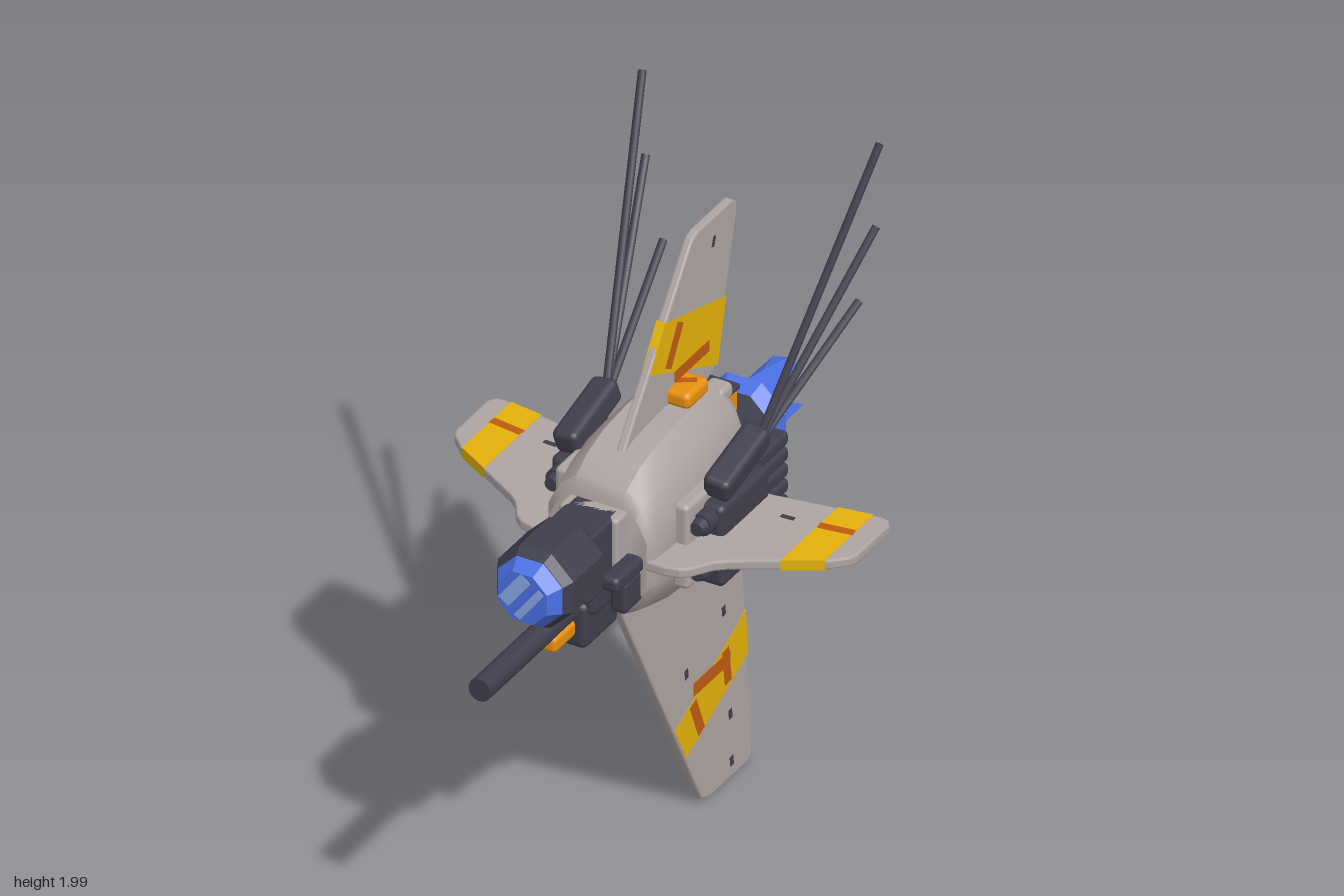
import * as THREE from 'three';
import { toCreasedNormals } from 'three/addons/utils/BufferGeometryUtils.js';
import { RoundedBoxGeometry } from 'three/addons/geometries/RoundedBoxGeometry.js';

const paint = (name, hex) => {
  const m = new THREE.MeshStandardMaterial({ color: hex });
  m.name = name;
  return m;
};

export function createModel() {
  const model = new THREE.Group();
  model.name = 'spacecraft';
  const hullGrey = paint('hull grey', 0xaea4a1);
  const dark = paint('dark metal', 0x3f3e4c);
  const yellow = paint('stripe yellow', 0xe4b10a);
  const orange = paint('fitting orange', 0xee940f);
  const rust = paint('marking rust', 0xbe5a10);
  const blue = paint('glow blue', 0x4c70e4);
  const paleBlue = paint('glass pale blue', 0x8aa8e6);
  blue.side = THREE.DoubleSide;

  const add = (name, geometry, material, x = 0, y = 0, z = 0) => {
    const mesh = new THREE.Mesh(geometry, material);
    mesh.name = name;
    mesh.position.set(x, y, z);
    model.add(mesh);
    return mesh;
  };
  const box = (name, m, w, h, d, x, y, z, r = 0.012) =>
    add(name, new RoundedBoxGeometry(w, h, d, 2, r), m, x, y, z);

  // Straight tube along z, from z0 (radius r0) to z1 (radius r1)
  const tubeZ = (name, m, r0, r1, z0, z1, x, y, sides = 16) => {
    const g = new THREE.CylinderGeometry(r1, r0, z1 - z0, sides);
    g.rotateY(Math.PI / sides).rotateX(Math.PI / 2);
    return add(name, toCreasedNormals(g, 0.5), m, x, y, (z0 + z1) / 2);
  };

  // Thin plate: upright takes [z, y] points, flat takes [x, z] points
  const plate = (name, m, pts, thick, upright, bevel = 0, y = 0) => {
    const shape = new THREE.Shape(pts.map(p => new THREE.Vector2(p[0], p[1])));
    const depth = thick - 2 * bevel;
    const g = new THREE.ExtrudeGeometry(shape, {
      depth, bevelEnabled: bevel > 0, bevelThickness: bevel,
      bevelSize: bevel, bevelOffset: -bevel, bevelSegments: 2,
    });
    g.translate(0, 0, -depth / 2);
    if (upright) g.rotateY(-Math.PI / 2);
    else g.rotateX(Math.PI / 2);
    return add(name, g, m, 0, y, 0);
  };
  // Quad of width w around the line a-b
  const line = (a, b, w) => {
    const dx = b[0] - a[0], dy = b[1] - a[1], l = Math.hypot(dx, dy);
    const nx = -dy / l * w / 2, ny = dx / l * w / 2;
    return [[a[0] + nx, a[1] + ny], [b[0] + nx, b[1] + ny], [b[0] - nx, b[1] - ny], [a[0] - nx, a[1] - ny]];
  };

  // Hull: chamfered sections [z, half width, bottom, top], back to front
  const sections = [[-0.355, 0.11, 0.92, 1.26], [-0.34, 0.14, 0.86, 1.32], [-0.30, 0.16, 0.83, 1.35],
    [-0.10, 0.17, 0.825, 1.35], [0.02, 0.17, 0.84, 1.34], [0.11, 0.167, 0.866, 1.315],
    [0.17, 0.162, 0.89, 1.28], [0.19, 0.148, 0.91, 1.245]];
  const pos = [], idx = [], n = 12;
  for (const [z, w, b, t] of sections) {
    const h = t - b;
    const side = [[0.38, 0], [0.68, 0.08], [1, 0.3], [1, 0.71], [0.77, 0.9], [0.47, 1]];
    for (const [u, v] of side) pos.push(w * u, b + h * v, z);
    for (const [u, v] of side.slice().reverse()) pos.push(-w * u, b + h * v, z);
  }
  for (let i = 0; i < sections.length - 1; i++) for (let j = 0; j < n; j++) {
    const a = i * n + j, b = i * n + (j + 1) % n;
    idx.push(a, b, a + n, b, b + n, a + n);
  }
  const last = (sections.length - 1) * n;
  for (let j = 1; j < n - 1; j++) idx.push(0, j + 1, j, last, last + j, last + j + 1);
  const hull = new THREE.BufferGeometry();
  hull.setAttribute('position', new THREE.Float32BufferAttribute(pos, 3));
  hull.setIndex(idx);
  add('hull', toCreasedNormals(hull, 0.6), hullGrey);

  // Upper fin
  plate('upperFin', hullGrey, [[0.1, 1.29], [-0.265, 1.765], [-0.285, 1.79], [-0.315, 1.8], [-0.495, 1.8],
    [-0.515, 1.785], [-0.52, 1.76], [-0.41, 1.33], [-0.3, 1.28]], 0.026, true, 0.006);
  plate('upperFinStripe', yellow, [[-0.14, 1.61], [-0.46, 1.52], [-0.415, 1.33], [-0.06, 1.49]], 0.0275, true);
  for (const [a, b, w] of [[[-0.22, 1.57], [-0.155, 1.46], 0.035], [[-0.19, 1.415], [-0.37, 1.415], 0.035]])
    plate('upperFinMark', rust, line(a, b, w), 0.029, true);
  plate('upperFinSpot', dark, line([-0.40, 1.74], [-0.39, 1.71], 0.014), 0.0275, true);

  // Lower fin
  plate('lowerFin', hullGrey, [[0.11, 0.87], [-0.31, 0.065], [-0.335, 0.02], [-0.375, 0.004], [-0.575, 0.004],
    [-0.597, 0.02], [-0.597, 0.05], [-0.545, 0.70], [-0.535, 0.73], [-0.51, 0.745], [-0.335, 0.745],
    [-0.29, 0.83], [-0.28, 0.87]], 0.026, true, 0.006);
  plate('lowerFinStripe', yellow, [[-0.19, 0.31], [-0.563, 0.485], [-0.573, 0.345], [-0.25, 0.195]], 0.0275, true);
  for (const [a, b, w] of [[[-0.285, 0.345], [-0.33, 0.235], 0.035], [[-0.29, 0.385], [-0.48, 0.385], 0.04],
    [[-0.455, 0.42], [-0.47, 0.31], 0.035]])
    plate('lowerFinMark', rust, line(a, b, w), 0.029, true);
  for (const [z, y] of [[-0.435, 0.69], [-0.445, 0.56], [-0.48, 0.22], [-0.487, 0.07], [-0.25, 0.47]])
    plate('lowerFinSpot', dark, line([z, y], [z - 0.004, y - 0.03], 0.018), 0.0275, true);

  // Head with faceted glass
  tubeZ('headBack', dark, 0.105, 0.124, 0.335, 0.36, 0, 1.15, 8);
  tubeZ('head', dark, 0.124, 0.124, 0.36, 0.515, 0, 1.15, 8);
  tubeZ('headRim', dark, 0.124, 0.108, 0.515, 0.545, 0, 1.15, 8);
  tubeZ('headGlass', blue, 0.106, 0.08, 0.545, 0.585, 0, 1.15, 8);
  for (const [d, l, w] of [[-0.03, 0.11, 0.038], [0.025, 0.12, 0.022]]) {
    const streak = add('glassStreak', new THREE.BoxGeometry(w, l, 0.004), paleBlue, d * 0.8, 1.15 - d * 0.6, 0.585);
    streak.rotation.z = -0.65;
  }

  // Neck, chin and gun
  box('neck', dark, 0.15, 0.2, 0.22, 0, 1.13, 0.26);
  box('collar', hullGrey, 0.18, 0.16, 0.08, 0, 1.15, 0.205);
  box('chin', dark, 0.11, 0.14, 0.18, 0, 0.94, 0.26, 0.02);
  box('chinTop', dark, 0.15, 0.1, 0.19, 0, 1.02, 0.24, 0.02);
  tubeZ('gunBarrel', dark, 0.034, 0.034, 0.3, 0.81, 0, 0.987);
  box('gunClamp', orange, 0.075, 0.05, 0.115, 0, 0.948, 0.42, 0.015);

  // Top fitting with a chevron inlay
  box('topFitting', orange, 0.155, 0.05, 0.115, 0, 1.37, -0.21, 0.018);
  for (const s of [1, -1])
    plate('fittingChevron', rust, line([s * 0.055, -0.235], [s * 0.008, -0.205], 0.02), 0.004, false, 0, 1.395);

  // Tail block, nozzle and vents
  box('tailBlock', dark, 0.23, 0.22, 0.12, 0, 1.07, -0.38, 0.02);
  tubeZ('nozzle', dark, 0.112, 0.122, -0.535, -0.4, 0, 1.07, 8);
  for (const s of [1, -1]) {
    box('vent', orange, 0.1, 0.07, 0.11, 0, 1.07 + s * 0.14, -0.405, 0.008);
    box('ventCover', dark, 0.11, 0.016, 0.12, 0, 1.07 + s * 0.18, -0.405, 0.006);
    box('ventPlate', dark, 0.05, 0.08, 0.012, 0, 1.07 + s * 0.14, -0.464, 0.005);
  }

  // Exhaust glow: flared ring and two long curved petals
  const flare = new THREE.CylinderGeometry(0.105, 0.135, 0.05, 8, 1, true);
  flare.rotateY(Math.PI / 8).rotateX(Math.PI / 2);
  add('glowRing', toCreasedNormals(flare, 0.5), blue, 0, 1.07, -0.555);
  for (const s of [1, -1]) {
    const rows = [[0.085, 0.125, 0.06, -0.575], [0.045, 0.105, 0.065, -0.67], [0.047, 0.07, 0.06, -0.81]];
    const p = [], f = [];
    for (const [w, h, e, z] of rows) p.push(-w, e * s, z, 0, h * s, z, w, e * s, z);
    for (const k of [0, 1, 3, 4]) f.push(k, k + 1, k + 3, k + 1, k + 4, k + 3);
    const g = new THREE.BufferGeometry();
    g.setAttribute('position', new THREE.Float32BufferAttribute(p, 3));
    g.setIndex(s > 0 ? f : f.reverse());
    add('glowPetal', toCreasedNormals(g, 0.3), blue, 0, 1.06, 0);
  }

  // Mirrored parts
  for (const s of [1, -1]) {
    const mx = pts => pts.map(([x, z]) => [x * s, z]);
    plate('wing', hullGrey, mx([[0.12, -0.24], [0.57, -0.31], [0.595, -0.307], [0.61, -0.285], [0.61, -0.12],
      [0.6, -0.095], [0.56, -0.055], [0.33, 0.08], [0.3, 0.105], [0.265, 0.16], [0.24, 0.18], [0.2, 0.19],
      [0.12, 0.19]]), 0.03, false, 0.006, 1.078);
    plate('wingStripe', yellow, mx([[0.45, -0.292], [0.55, -0.307], [0.55, -0.048], [0.45, 0.01]]), 0.0315, false, 0, 1.078);
    plate('wingMark', rust, mx(line([0.45, -0.19], [0.55, -0.204], 0.026)), 0.033, false, 0, 1.078);
    plate('wingSpot', dark, mx(line([0.34, -0.182], [0.38, -0.184], 0.016)), 0.0315, false, 0, 1.078);

    // Side pod with front tubes and stacked louvres
    box('podMount', hullGrey, 0.05, 0.26, 0.26, s * 0.178, 1.08, -0.06, 0.015);
    box('pod', dark, 0.075, 0.25, 0.25, s * 0.225, 1.055, -0.137, 0.018);
    for (const y of [1.14, 1.0]) {
      tubeZ('podTube', dark, 0.032, 0.032, -0.05, 0.03, s * 0.22, y);
      tubeZ('podTubeTip', dark, 0.026, 0.02, 0.03, 0.055, s * 0.22, y);
    }
    for (let i = 0; i < 5; i++)
      box('louvre', dark, 0.13, 0.042, 0.23, s * 0.157, 0.965 + i * 0.049, -0.318, 0.014);

    // Cheek rails beside the neck and shoulders behind the hull
    box('cheekRail', dark, 0.055, 0.045, 0.16, s * 0.11, 1.08, 0.245, 0.015);
    box('cheekPlate', dark, 0.05, 0.1, 0.1, s * 0.105, 1.01, 0.22, 0.015);
    box('shoulder', hullGrey, 0.07, 0.05, 0.07, s * 0.065, 1.315, -0.32, 0.018);

    // Aerial mount and three swept rods
    const mount = box('aerialMount', dark, 0.08, 0.075, 0.24, s * 0.227, 1.245, -0.145, 0.02);
    mount.rotation.x = 0.25;
    mount.rotation.z = s * -0.15;
    for (const [x, y] of [[0.36, 1.99], [0.35, 1.73], [0.297, 1.48]]) {
      const a = new THREE.Vector3(s * 0.228, 1.235, -0.24), b = new THREE.Vector3(s * x, y, -0.665);
      const rod = add('aerialRod', new THREE.CylinderGeometry(0.012, 0.012, a.distanceTo(b), 8), dark);
      rod.position.copy(a).add(b).multiplyScalar(0.5);
      rod.quaternion.setFromUnitVectors(new THREE.Vector3(0, 1, 0), b.sub(a).normalize());
    }
  }
  return model;
}
